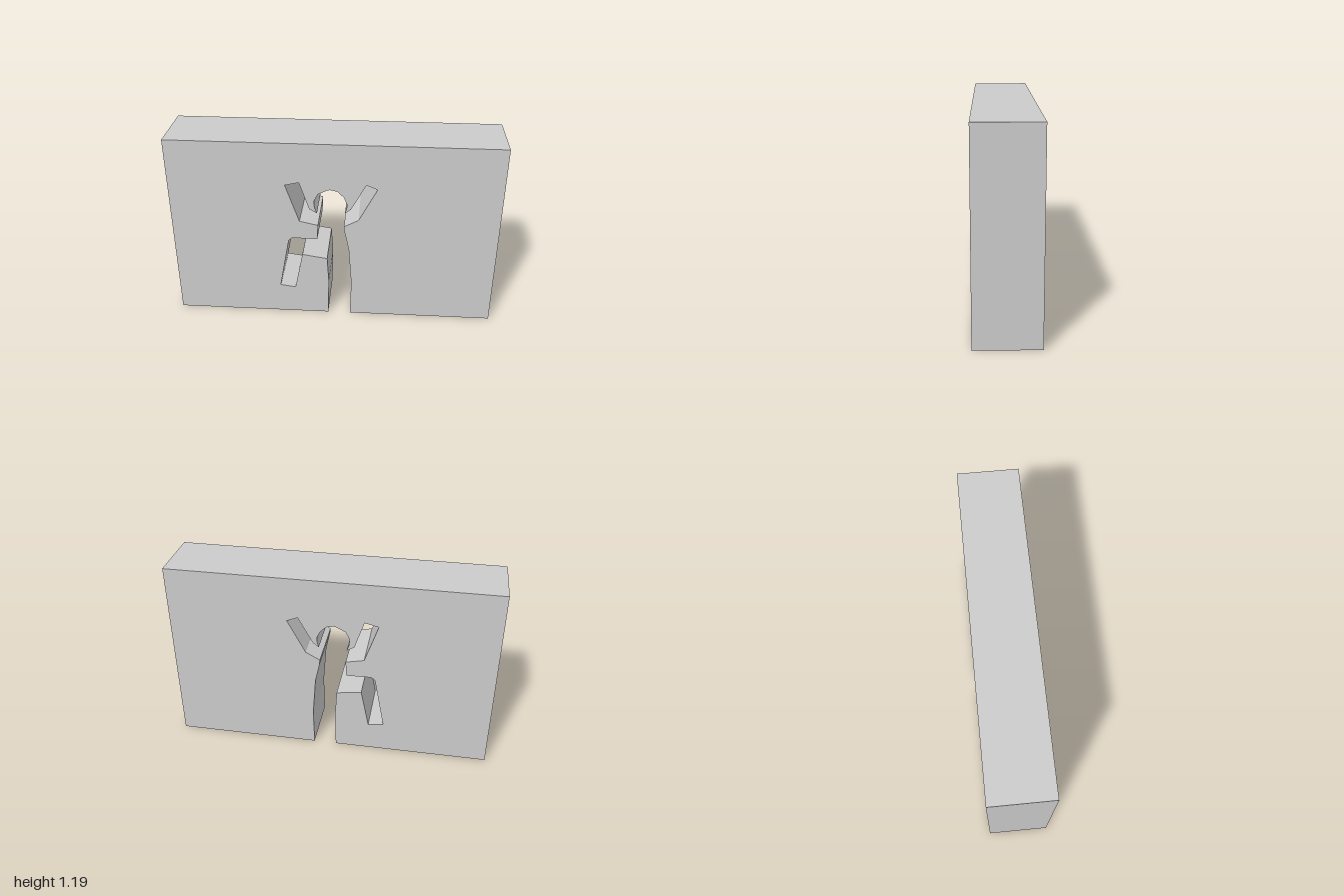
import * as THREE from 'three';

const HALF_WIDTH = 1, HEIGHT = 1.19, DEPTH = 0.375;

// Outline of the climbing figure cut through the wall, from left foot edge round to right
const figure = [
  // standing leg, raised thigh and hanging shin
  [-0.035, 0], [-0.03, 0.24], [-0.04, 0.413], [-0.195, 0.437], [-0.245, 0.187], [-0.34, 0.2],
  [-0.278, 0.537], [-0.255, 0.557], [-0.1, 0.553],
  // arm
  [-0.095, 0.652], [-0.208, 0.677], [-0.29, 0.92], [-0.205, 0.94], [-0.147, 0.765], [-0.1, 0.737],
  // head
  [-0.115, 0.775], [-0.117, 0.82], [-0.093, 0.866], [-0.04, 0.893], [-0.022, 0.898],
  [0.024, 0.888], [0.062, 0.85], [0.08, 0.808], [0.08, 0.78], [0.07, 0.743],
  // other arm
  [0.105, 0.77], [0.195, 0.936], [0.262, 0.909], [0.152, 0.697], [0.064, 0.649],
  // side of the body down to the ground
  [0.067, 0.615], [0.094, 0.49], [0.112, 0.24], [0.107, 0],
];

export function createModel() {
  const group = new THREE.Group();
  group.name = 'wallWithFigureCutout';

  // The cut-out opens at the ground, so it is part of the outer outline
  const outline = [
    [-HALF_WIDTH, 0], ...figure, [HALF_WIDTH, 0], [HALF_WIDTH, HEIGHT], [-HALF_WIDTH, HEIGHT],
  ];
  const shape = new THREE.Shape(outline.map(([x, y]) => new THREE.Vector2(x, y)));
  const geometry = new THREE.ExtrudeGeometry(shape, { depth: DEPTH, bevelEnabled: false });
  geometry.translate(0, 0, -DEPTH / 2);

  const wall = new THREE.Mesh(
    geometry,
    new THREE.MeshStandardMaterial({ color: 0xcccccc, flatShading: true }),
  );
  wall.name = 'wall';
  group.add(wall);
  return group;
}
